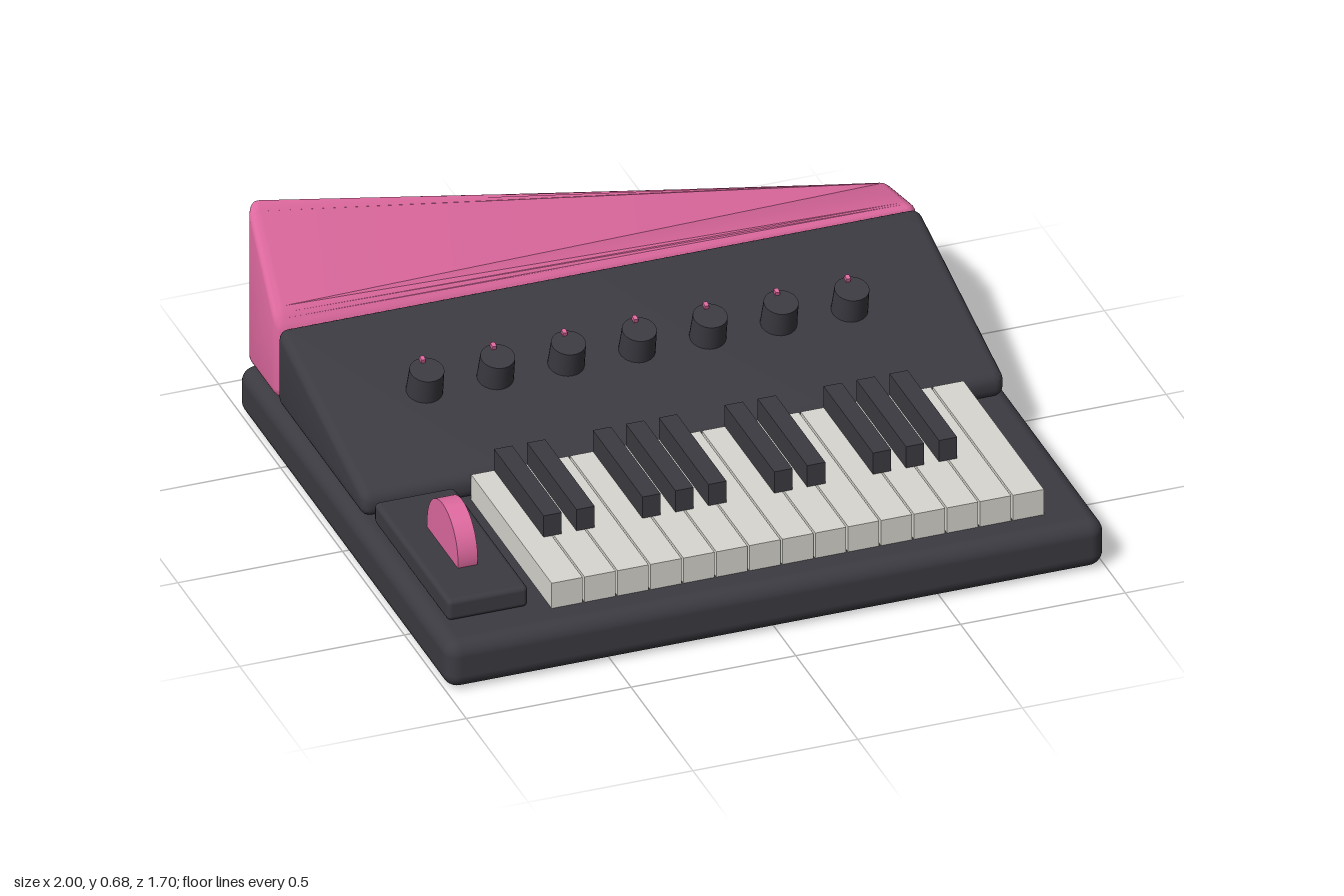
import * as THREE from 'three';
import { RoundedBoxGeometry } from 'three/addons/geometries/RoundedBoxGeometry.js';
import { toCreasedNormals } from 'three/addons/utils/BufferGeometryUtils.js';

const material = (name, color) => {
  const m = new THREE.MeshStandardMaterial({ color });
  m.name = name;
  return m;
};

export function createModel() {
  const charcoal = material('charcoal', 0x3c3b42);
  const pink = material('pink', 0xe06aa0);
  const ivory = material('ivory', 0xd8d7d0);

  const model = new THREE.Group();
  model.name = 'synthesizer';

  const add = (name, geometry, mat, x = 0, y = 0, z = 0, parent = model) => {
    const mesh = new THREE.Mesh(geometry, mat);
    mesh.name = name;
    mesh.position.set(x, y, z);
    parent.add(mesh);
    return mesh;
  };

  // Rounded block between z0 and z1 whose top follows topAt(u, v),
  // with u running 0..1 along x and v running 0..1 from back to front
  const slopedBlock = (width, z0, z1, bottom, radius, topAt) => {
    const height = radius * 2 + 0.01, depth = z1 - z0;
    const g = new RoundedBoxGeometry(width, height, depth, 3, radius);
    const p = g.attributes.position;
    for (let i = 0; i < p.count; i++) {
      const u = p.getX(i) / width + 0.5;
      const v = p.getZ(i) / depth + 0.5;
      let y = p.getY(i) + height / 2 + bottom;
      if (p.getY(i) > 0) y += topAt(u, v) - bottom - height;
      p.setXYZ(i, p.getX(i), y, p.getZ(i) + (z0 + z1) / 2);
    }
    return toCreasedNormals(g, 0.7);
  };
  const { lerp } = THREE.MathUtils;

  // Base slab
  add('base', new RoundedBoxGeometry(2, 0.152, 1.7, 4, 0.045), charcoal, 0, 0.076, 0);

  // Sloping control panel
  add('controlPanel', slopedBlock(1.95, -0.6, 0.1, 0.153, 0.03,
    (u, v) => lerp(0.405, 0.228, v)), charcoal);

  // Rear fin: level along the front, falling from the right end to the left at the back
  add('rearFin', slopedBlock(1.95, -0.848, -0.6, 0.153, 0.035,
    (u, v) => lerp(lerp(0.71, 0.35, u), 0.405, v)), pink);

  // Keyboard
  const keyboard = new THREE.Group();
  keyboard.name = 'keyboard';
  model.add(keyboard);
  const whiteKey = new THREE.BoxGeometry(0.094, 0.083, 0.65);
  const blackKey = new THREE.BoxGeometry(0.055, 0.07, 0.4);
  const sharps = [0, 1, 3, 4, 5];
  for (let i = 0; i < 15; i++) {
    const x = -0.6 + i * 0.1;
    add('whiteKey', whiteKey, ivory, x, 0.1935, 0.425, keyboard);
    if (i < 13 && sharps.includes(i % 7)) {
      add('blackKey', blackKey, charcoal, x + 0.05, 0.27, 0.3, keyboard);
    }
  }

  // Wheel pad and wheel
  add('wheelPad', new RoundedBoxGeometry(0.245, 0.068, 0.6, 2, 0.015), charcoal, -0.828, 0.186, 0.42);
  const wheel = add('wheel', new THREE.CylinderGeometry(0.125, 0.125, 0.06, 40), pink, -0.828, 0.24, 0.43);
  wheel.rotation.z = Math.PI / 2;

  // Row of knobs standing square to the panel
  const knobBody = new THREE.CylinderGeometry(0.05, 0.054, 0.1, 28);
  const knobMark = new THREE.BoxGeometry(0.013, 0.018, 0.018);
  for (let i = 0; i < 7; i++) {
    const knob = new THREE.Group();
    knob.name = 'knob';
    knob.position.set(-0.655 + i * 0.215, 0.348, -0.249);
    knob.rotation.x = Math.atan(0.25);
    add('knobBody', knobBody, charcoal, 0, 0, 0, knob);
    add('knobMark', knobMark, pink, 0, 0.053, -0.038, knob);
    model.add(knob);
  }

  return model;
}
